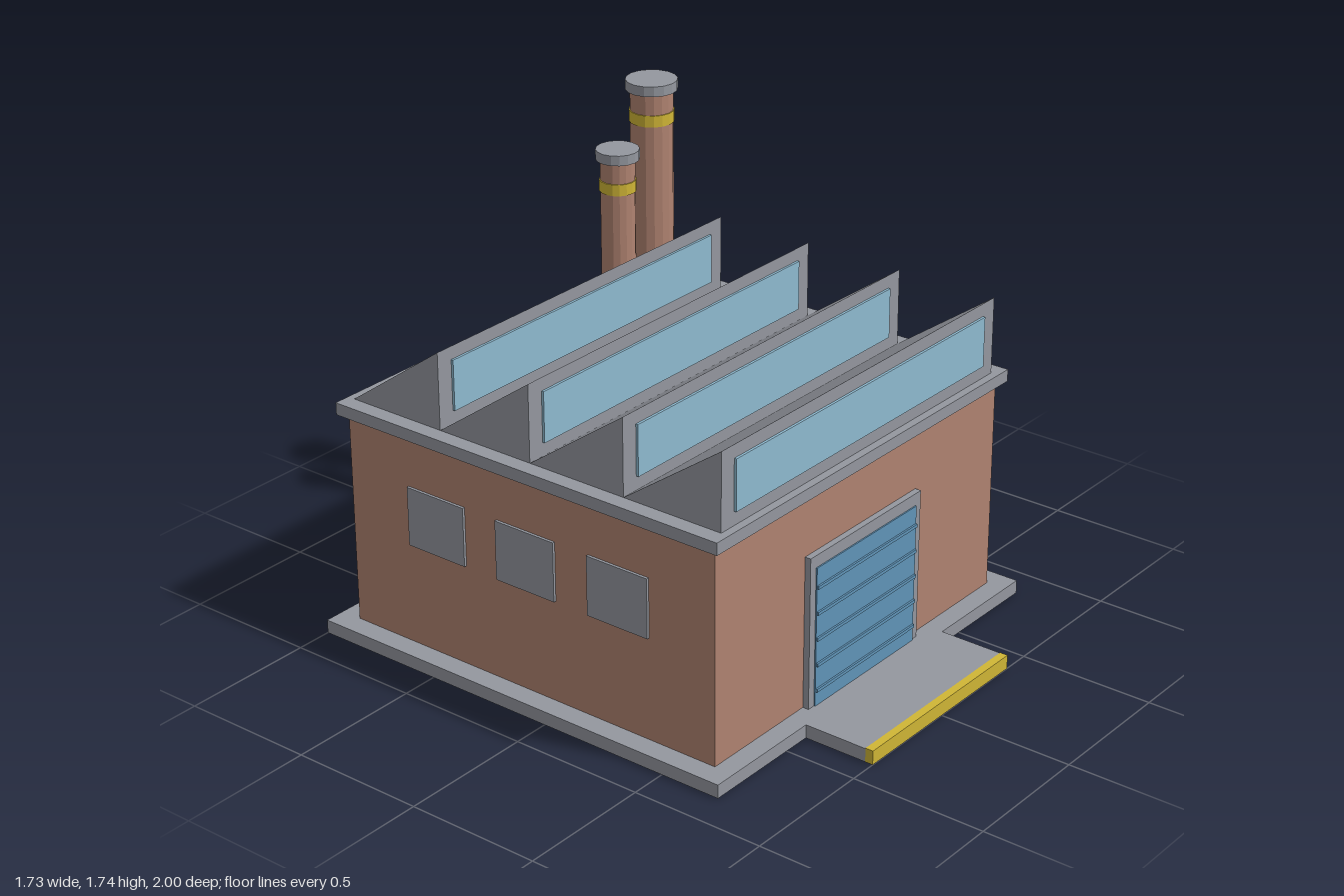
import * as THREE from 'three';

const mat = (name, color, flatShading = false) => {
  const m = new THREE.MeshStandardMaterial({ color, flatShading });
  m.name = name;
  return m;
};

export function createModel() {
  const brick = mat('brick', 0xb08371);
  const grey = mat('concrete grey', 0x94979f);
  const blue = mat('door blue', 0x6094b8);
  const glass = mat('window glass', 0x8fbad0);
  const yellow = mat('safety yellow', 0xd0b636);

  const model = new THREE.Group();
  model.name = 'factory';

  const add = (name, geometry, material, parent = model) => {
    const mesh = new THREE.Mesh(geometry, material);
    mesh.name = name;
    parent.add(mesh);
    return mesh;
  };
  // Box given by its extents on each axis
  const box = (name, material, [x0, x1], [y0, y1], [z0, z1], parent) => {
    const g = new THREE.BoxGeometry(x1 - x0, y1 - y0, z1 - z0);
    g.translate((x0 + x1) / 2, (y0 + y1) / 2, (z0 + z1) / 2);
    return add(name, g, material, parent);
  };
  // Upright faceted cylinder from y0 to y1
  const tube = (name, material, r, x, z, y0, y1, sides, parent) => {
    const g = new THREE.CylinderGeometry(r, r, y1 - y0, sides).toNonIndexed();
    g.computeVertexNormals();
    g.translate(x, (y0 + y1) / 2, z);
    return add(name, g, material, parent);
  };

  // Ground slab and loading apron
  box('baseSlab', grey, [-0.865, 0.865], [0, 0.05], [-1, 0.73]);
  box('loadingApron', grey, [-0.395, 0.395], [0, 0.05], [0.73, 0.97]);
  box('apronEdge', yellow, [-0.395, 0.395], [0, 0.052], [0.97, 1]);

  // Main hall and cornice
  box('walls', brick, [-0.785, 0.785], [0.05, 0.84], [-0.92, 0.655]);
  box('cornice', grey, [-0.815, 0.815], [0.84, 0.885], [-0.95, 0.685]);

  // Sawtooth roof: upright glazed front, slope falling to the back
  const pitch = 0.394;
  const profile = new THREE.Shape();
  profile.moveTo(0, 0.885);
  profile.lineTo(pitch, 0.885);
  profile.lineTo(0, 1.168);
  const toothGeo = new THREE.ExtrudeGeometry(profile, { depth: 1.51, bevelEnabled: false });
  toothGeo.rotateY(Math.PI / 2);
  toothGeo.translate(-0.755, 0, 0);
  for (let i = 0; i < 4; i++) {
    const z = 0.655 - i * pitch;
    const tooth = new THREE.Group();
    tooth.name = 'roofTooth' + (i + 1);
    model.add(tooth);
    add('toothBody', toothGeo, grey, tooth).position.z = z;
    box('skylight', glass, [-0.69, 0.69], [0.935, 1.12], [z, z + 0.009], tooth);
  }

  // Chimneys
  const chimney = (name, x, r, top, bandY) => {
    const g = new THREE.Group();
    g.name = name;
    model.add(g);
    tube('shaft', brick, r, x, -0.64, 0.885, top - 0.035, 16, g);
    tube('band', yellow, r + 0.004, x, -0.64, bandY, bandY + 0.042, 16, g);
    tube('cap', grey, r + 0.016, x, -0.64, top - 0.037, top, 16, g);
  };
  chimney('tallChimney', 0.503, 0.077, 1.742, 1.588);
  chimney('shortChimney', 0.313, 0.062, 1.537, 1.383);

  // Roller door with frame and slat ridges
  const door = new THREE.Group();
  door.name = 'rollerDoor';
  model.add(door);
  for (const s of [-1, 1]) {
    box('frameSide', grey, [s < 0 ? -0.312 : 0.282, s < 0 ? -0.282 : 0.312], [0.05, 0.615], [0.655, 0.678], door);
  }
  box('frameTop', grey, [-0.282, 0.282], [0.57, 0.615], [0.655, 0.678], door);
  box('doorPanel', blue, [-0.282, 0.282], [0.05, 0.57], [0.655, 0.683], door);
  for (let i = 0; i < 5; i++) {
    const y = 0.11 + i * 0.097;
    box('slatRidge', blue, [-0.28, 0.28], [y - 0.006, y + 0.006], [0.683, 0.69], door);
  }

  // Side windows on both walls, side door on the left wall
  for (const s of [-1, 1]) {
    const x = s < 0 ? [-0.795, -0.785] : [0.785, 0.795];
    for (let i = 0; i < 3; i++) {
      const z = 0.26 - i * pitch;
      box('sideWindow', grey, x, [0.43, 0.65], [z - 0.126, z + 0.126]);
    }
  }
  box('sideDoor', blue, [0.785, 0.798], [0.05, 0.395], [0.39, 0.55]);

  // Back windows
  for (let i = 0; i < 4; i++) {
    const x = (i - 1.5) * 0.314;
    box('backWindow', glass, [x - 0.1, x + 0.1], [0.46, 0.605], [-0.929, -0.92]);
  }

  // Service pipes on the back wall
  const pipes = new THREE.Group();
  pipes.name = 'servicePipes';
  model.add(pipes);
  for (const x of [-0.55, -0.472]) {
    tube('pipe', grey, 0.021, x, -0.963, 0.05, 0.76, 8, pipes);
  }
  box('pipeBracket', grey, [-0.55, -0.45], [0.635, 0.655], [-0.972, -0.945], pipes);

  return model;
}
